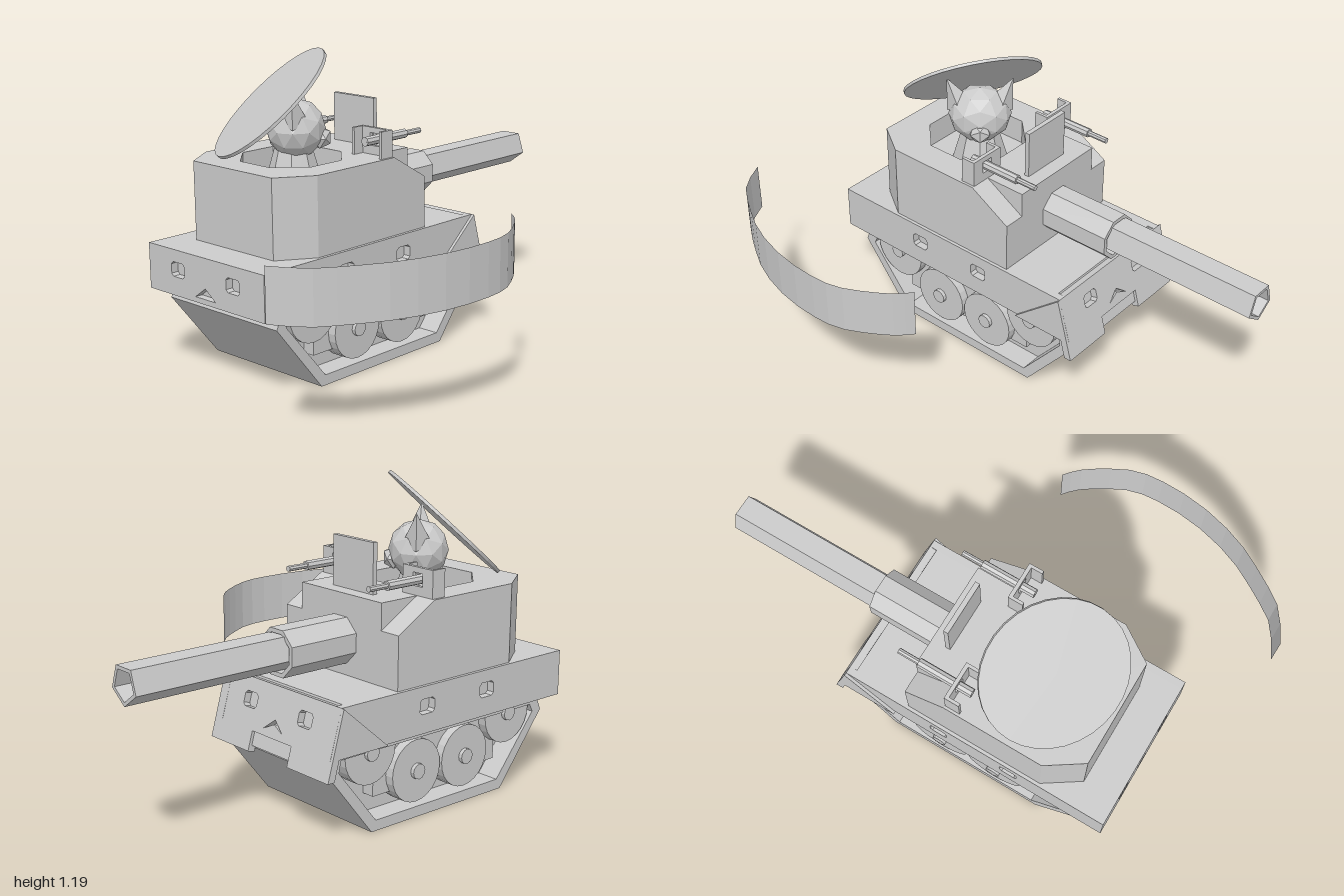
import * as THREE from 'three';

const mat = new THREE.MeshStandardMaterial({ color: 0xcccccc, flatShading: true });
const thinMat = new THREE.MeshStandardMaterial({ color: 0xcccccc, flatShading: true, side: THREE.DoubleSide });

function add(parent, name, geo, x = 0, y = 0, z = 0, material = mat) {
  const m = new THREE.Mesh(geo, material);
  m.name = name;
  m.position.set(x, y, z);
  parent.add(m);
  return m;
}
const box = (p, name, x0, x1, y0, y1, z0, z1) =>
  add(p, name, new THREE.BoxGeometry(x1 - x0, y1 - y0, z1 - z0), (x0 + x1) / 2, (y0 + y1) / 2, (z0 + z1) / 2);
const vec = (pts) => pts.map(([a, b]) => new THREE.Vector2(a, b));

function slab(pts, depth, holes = []) {
  const s = new THREE.Shape(vec(pts));
  holes.forEach((h) => s.holes.push(new THREE.Path(vec(h))));
  return new THREE.ExtrudeGeometry(s, { depth, bevelEnabled: false });
}
// Regular polygon outline, first corner at angle a0
const ngon = (n, r, cx = 0, cy = 0, a0 = 0) => Array.from({ length: n }, (_, i) => {
  const a = a0 + (i / n) * Math.PI * 2;
  return [cx + r * Math.cos(a), cy + r * Math.sin(a)];
});
// Small port with clipped corners
function port(cx, cy, w = 0.036, h = 0.028, c = 0.01) {
  return [[cx - w + c, cy - h], [cx + w - c, cy - h], [cx + w, cy - h + c], [cx + w, cy + h - c],
    [cx + w - c, cy + h], [cx - w + c, cy + h], [cx - w, cy + h - c], [cx - w, cy - h + c]];
}
// Cylinder lying along x (axis 'x') or z (axis 'z')
function rod(p, name, axis, r, len, x, y, z, n = 12) {
  const m = add(p, name, new THREE.CylinderGeometry(r, r, len, n), x, y, z);
  if (axis === 'x') m.rotation.z = -Math.PI / 2; else m.rotation.x = Math.PI / 2;
  return m;
}
// Tube along x from an outline with a hole, outline in (z, y)
function hollow(p, name, n, r, rin, a0, x0, x1, y) {
  const m = add(p, name, slab(ngon(n, r, 0, 0, a0), x1 - x0, [ngon(n, rin, 0, 0, a0)]), x0, y, 0);
  m.rotation.y = Math.PI / 2;
}

function buildTracks(p) {
  const outer = [[-0.475, 0], [0.185, 0], [0.385, 0.25], [0.37, 0.33], [-0.665, 0.33], [-0.69, 0.27]];
  const inner = [[-0.455, 0.04], [0.165, 0.04], [0.34, 0.255], [0.33, 0.3], [-0.63, 0.3], [-0.645, 0.27]];
  add(p, 'trackBand', slab(outer, 0.58, [inner]), 0, 0, -0.29);
  add(p, 'trackCore', slab(inner, 0.4), 0, 0, -0.2);
  for (const s of [1, -1]) {
    box(p, 'suspension', -0.475, 0.145, 0.11, 0.3, s * 0.225 - 0.025, s * 0.225 + 0.025);
    for (const [x, y] of [[-0.505, 0.295], [-0.28, 0.175], [-0.035, 0.175], [0.19, 0.295]]) {
      rod(p, 'wheel', 'z', 0.118, 0.07, x, y, s * 0.25, 24);
      rod(p, 'hub', 'z', 0.029, 0.02, x, y, s * 0.29, 12);
    }
  }
}

function buildHull(p) {
  add(p, 'hullCore', slab([[-0.735, 0.32], [0.37, 0.32], [0.32, 0.495], [-0.735, 0.495]], 0.566), 0, 0, -0.283);
  const side = slab([[-0.765, 0.32], [0.4, 0.32], [0.35, 0.495], [-0.765, 0.495]], 0.03,
    [port(-0.36, 0.42), port(-0.055, 0.42)]);
  const flare = slab([[0.145, 0.32], [0.37, 0.32], [0.39, 0.245], [0.42, 0.245], [0.35, 0.495]], 0.013);
  for (const s of [1, -1]) {
    add(p, 'hullSide', side, 0, 0, s > 0 ? 0.283 : -0.313);
    add(p, 'frontFlare', flare, 0, 0, s > 0 ? 0.312 : -0.325);
  }
  // Rear plate
  const rear = add(p, 'rearPlate', slab([[-0.283, 0.32], [0.283, 0.32], [0.283, 0.495], [-0.283, 0.495]], 0.03,
    [port(-0.15, 0.42), port(0.15, 0.42), [[-0.055, 0.34], [0.055, 0.34], [0, 0.38]]]), -0.765, 0, 0);
  rear.rotation.y = Math.PI / 2;
  // Sloped front plate, notched at the bottom
  const front = new THREE.Group();
  front.name = 'frontPlate';
  front.position.set(0.42, 0.245, 0);
  front.rotation.z = 0.273;
  p.add(front);
  const plate = slab([[-0.313, 0], [-0.108, 0], [-0.108, 0.075], [0.108, 0.075], [0.108, 0], [0.313, 0],
    [0.313, 0.26], [-0.313, 0.26]], 0.03,
    [port(-0.15, 0.18), port(0.15, 0.18), [[-0.052, 0.1], [0, 0.125], [0.052, 0.1], [0, 0.142]]]);
  add(front, 'plate', plate, -0.03, 0, 0).rotation.y = Math.PI / 2;
  box(front, 'notchPlate', -0.035, -0.012, 0.022, 0.08, -0.108, 0.108);
}

function buildTurret(p) {
  const half = [[-0.625, 0.21], [-0.49, 0.3], [-0.09, 0.3], [-0.09, 0.213], [0.08, 0.213]];
  const plan = [...half, ...half.map(([x, z]) => [x, -z]).reverse()];
  const hatch = ngon(8, 0.2, -0.33, 0, Math.PI / 8);
  add(p, 'turretLower', slab(plan, 0.2), 0, 0.495, 0).rotation.x = -Math.PI / 2;
  add(p, 'turretUpper', slab(plan, 0.1, [hatch]), 0, 0.695, 0).rotation.x = -Math.PI / 2;
  // Front corners with sloping tops
  const corner = slab([[-0.09, 0.495], [0.08, 0.495], [0.08, 0.695], [-0.09, 0.795]], 0.087);
  for (const s of [1, -1]) add(p, 'turretCorner', corner, 0, 0, s > 0 ? 0.213 : -0.3);

  // Main gun
  hollow(p, 'gunSleeve', 8, 0.092, 0.075, Math.PI / 8, 0.08, 0.375, 0.625);
  hollow(p, 'gunBarrel', 5, 0.073, 0.058, -Math.PI / 2, 0.09, 1, 0.631);
  box(p, 'shield', 0.003, 0.022, 0.79, 0.983, -0.106, 0.106);

  // Small guns on bracket mounts
  for (const s of [1, -1]) {
    const z = s * 0.215;
    const m = add(p, 'gunMount', slab([[-0.075, 0], [0.075, 0], [0.075, 0.105], [-0.075, 0.105]], 0.015,
      [ngon(4, 0.034, 0, 0.06, Math.PI / 4)]), -0.105, 0.793, z);
    m.rotation.y = Math.PI / 2;
    for (const e of [1, -1]) box(p, 'mountArm', -0.15, -0.1, 0.793, 0.898, z + e * 0.069 - 0.006, z + e * 0.069 + 0.006);
    rod(p, 'smallGunBody', 'x', 0.018, 0.22, -0.05, 0.853, z, 8);
    rod(p, 'smallGunBarrel', 'x', 0.011, 0.305, -0.008, 0.853, z, 8);
  }
}

// Low-poly cat crew member looking towards +x +z
function buildCat(p) {
  const cat = new THREE.Group();
  cat.name = 'catCrew';
  cat.position.set(-0.31, 0, 0.005);
  cat.rotation.y = 0.72;
  p.add(cat);
  add(cat, 'body', new THREE.CylinderGeometry(0.07, 0.11, 0.14, 8), 0, 0.76, -0.01);
  const head = add(cat, 'head', new THREE.IcosahedronGeometry(0.118, 1), 0, 0.9, 0);
  head.scale.set(1.05, 0.95, 0.95);
  add(cat, 'muzzle', new THREE.IcosahedronGeometry(0.045, 0), 0, 0.865, 0.09);
  for (const s of [1, -1]) {
    const ear = add(cat, 'ear', new THREE.ConeGeometry(0.055, 0.13, 4), s * 0.103, 0.995, 0);
    ear.rotation.z = -s * 0.4;
  }
}

export function createModel() {
  const model = new THREE.Group();
  model.name = 'tankWithCat';
  const tank = new THREE.Group();
  tank.name = 'tank';
  tank.position.z = -0.3;
  model.add(tank);
  buildTracks(tank);
  buildHull(tank);
  buildTurret(tank);
  buildCat(tank);

  // Tilted round disc behind the head
  const disc = add(model, 'disc', new THREE.CylinderGeometry(0.276, 0.276, 0.012, 32), -0.39, 1.0, -0.345);
  disc.quaternion.setFromUnitVectors(new THREE.Vector3(0, 1, 0), new THREE.Vector3(-0.577, 0.732, -0.362).normalize());

  // Free-standing curved ribbon beside the tank
  const path = new THREE.CatmullRomCurve3([[-1, 0.278], [-0.93, 0.4], [-0.82, 0.48], [-0.68, 0.56], [-0.5, 0.615],
    [-0.32, 0.63], [-0.2, 0.615], [-0.09, 0.56], [-0.01, 0.505], [0.035, 0.455]].map(([x, z]) => new THREE.Vector3(x, 0, z)));
  const n = 16;
  const ribbon = new THREE.PlaneGeometry(1, 0.195, n, 1);
  const pos = ribbon.attributes.position;
  for (let i = 0; i < pos.count; i++) {
    const q = path.getPoint((i % (n + 1)) / n);
    pos.setX(i, q.x);
    pos.setZ(i, q.z);
  }
  ribbon.computeVertexNormals();
  add(model, 'ribbon', ribbon, 0, 0.5375, 0, thinMat);
  return model;
}
